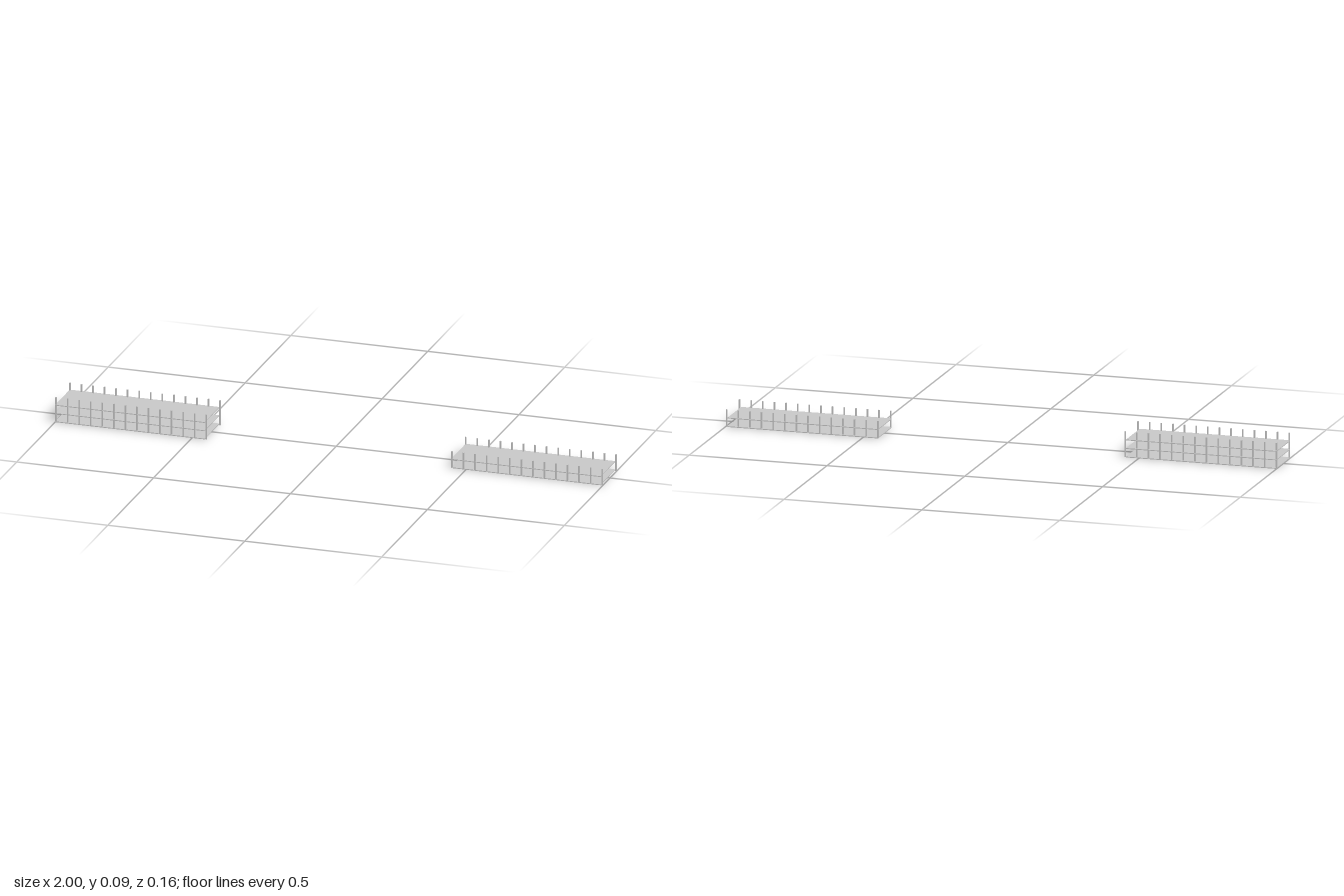
import * as THREE from 'three';

const LENGTH = 0.546, DEPTH = 0.16, SLAB = 0.003, STOREY = 0.0305;
const POST = 0.005, POSTS = 14, SPACING = 0.0422;

// One open deck block: floor slabs stacked on two rows of columns.
function createBlock(name, startX, floors) {
  const block = new THREE.Group();
  block.name = name;
  const material = new THREE.MeshStandardMaterial({ color: 0xcccccc });

  // Floor slabs
  const slabGeometry = new THREE.BoxGeometry(LENGTH, SLAB, DEPTH);
  for (let i = 0; i < floors; i++) {
    const slab = new THREE.Mesh(slabGeometry, material);
    slab.name = `floorSlab${i + 1}`;
    slab.position.set(startX + LENGTH / 2, i * STOREY + SLAB / 2, 0);
    block.add(slab);
  }

  // Columns run through every floor and rise one storey above the top slab
  const height = floors * STOREY;
  const postGeometry = new THREE.BoxGeometry(POST, height, POST);
  for (const [row, z] of [['front', 0.0765], ['back', -0.0735]]) {
    for (let i = 0; i < POSTS; i++) {
      const post = new THREE.Mesh(postGeometry, material);
      post.name = `${row}Column${i + 1}`;
      post.position.set(startX + POST / 2 + i * SPACING, height / 2, z);
      block.add(post);
    }
  }
  return block;
}

export function createModel() {
  const model = new THREE.Group();
  model.name = 'deckBlocks';
  model.add(createBlock('tallBlock', -1, 3));
  model.add(createBlock('lowBlock', 0.446, 2));
  return model;
}
